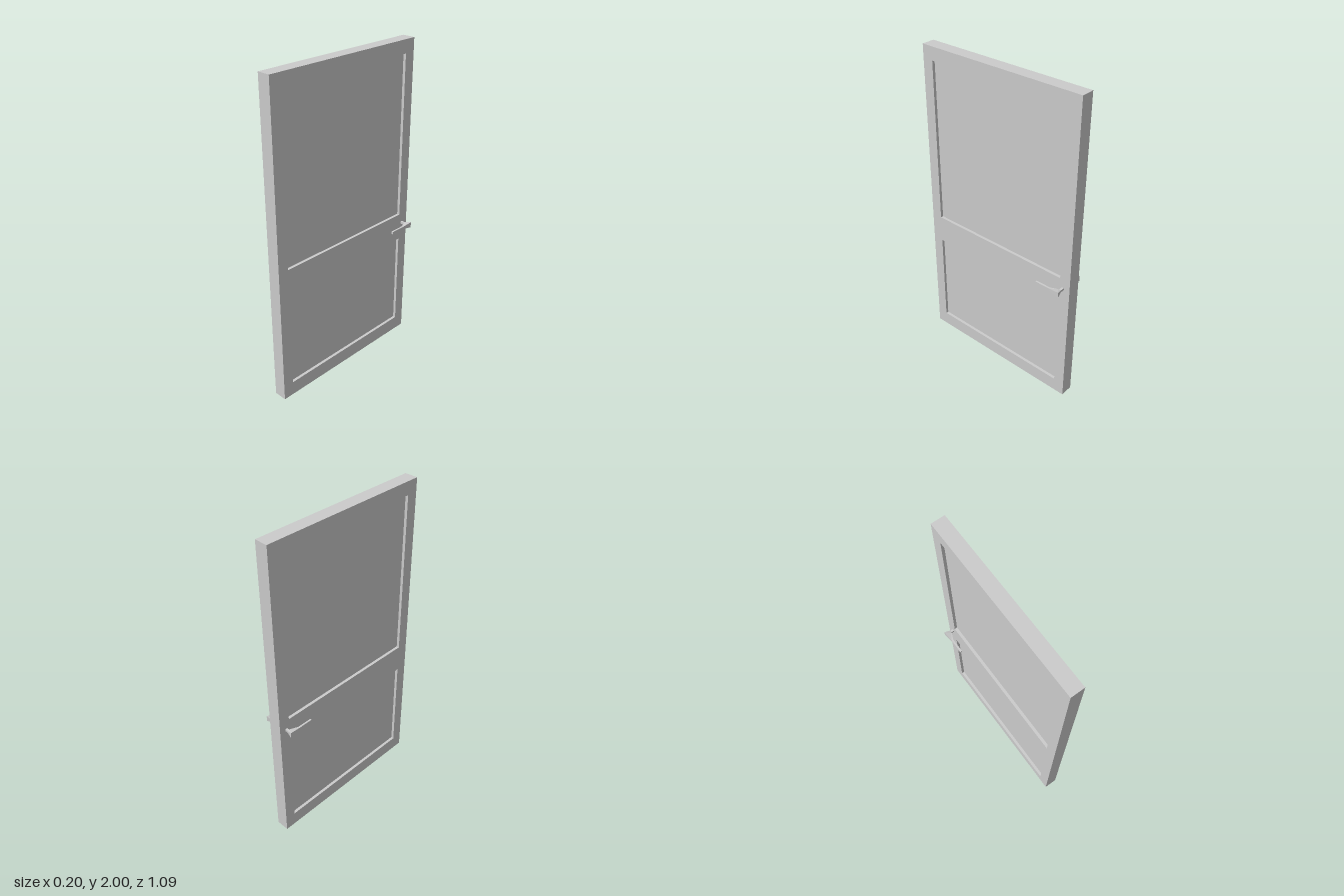
import * as THREE from 'three';

const material = new THREE.MeshStandardMaterial({ color: 0xcccccc, flatShading: true });
const LEFT = 0.036, RIGHT = -0.046, HALF_WIDTH = 0.543, HEIGHT = 2;
const PANEL_HALF = 0.474, RECESS = 0.018, HANDLE_Y = 0.822;
const OPENINGS = [['lowerPanel', 0.09, 0.71], ['upperPanel', 0.885, 1.918]];

function rectangle(PathType, halfWidth, bottom, top) {
  return new PathType([
    new THREE.Vector2(-halfWidth, bottom), new THREE.Vector2(halfWidth, bottom),
    new THREE.Vector2(halfWidth, top), new THREE.Vector2(-halfWidth, top),
  ]);
}

// Lever handle: four-sided sections [outer x, z, half height, inner x, z, half height]
// running out along the neck, round the flared head and along the grip.
const SECTIONS = [
  [0.030, -0.504, 0.007, 0.030, -0.490, 0.007],
  [0.063, -0.504, 0.007, 0.063, -0.490, 0.007],
  [0.102, -0.513, 0.018, 0.065, -0.487, 0.008],
  [0.096, -0.442, 0.008, 0.084, -0.442, 0.008],
  [0.096, -0.346, 0.008, 0.084, -0.346, 0.008],
];

function handleGeometry(side) {
  const positions = [], index = [];
  const tri = (a, b, c) => index.push(...(side > 0 ? [a, b, c] : [a, c, b]));
  for (const [ox, oz, oh, ix, iz, ih] of SECTIONS) {
    positions.push(side * ox, oh, oz, side * ix, ih, iz, side * ix, -ih, iz, side * ox, -oh, oz);
  }
  const last = (SECTIONS.length - 1) * 4;
  for (let s = 0; s < last; s += 4) {
    for (let i = 0; i < 4; i++) {
      const a = s + i, b = s + (i + 1) % 4;
      tri(a, b, a + 4);
      tri(b, b + 4, a + 4);
    }
  }
  // End caps
  tri(0, 2, 1);
  tri(0, 3, 2);
  tri(last, last + 1, last + 2);
  tri(last, last + 2, last + 3);
  const indexed = new THREE.BufferGeometry();
  indexed.setAttribute('position', new THREE.Float32BufferAttribute(positions, 3));
  indexed.setIndex(index);
  const geometry = indexed.toNonIndexed();
  geometry.computeVertexNormals();
  return geometry;
}

export function createModel() {
  const group = new THREE.Group();
  const add = (name, geometry) => {
    const mesh = new THREE.Mesh(geometry, material);
    mesh.name = name;
    group.add(mesh);
    return mesh;
  };

  // Door frame with two openings
  const outline = rectangle(THREE.Shape, HALF_WIDTH, 0, HEIGHT);
  for (const [, bottom, top] of OPENINGS) {
    outline.holes.push(rectangle(THREE.Path, PANEL_HALF, bottom, top));
  }
  const frame = new THREE.ExtrudeGeometry(outline, { depth: LEFT - RIGHT, bevelEnabled: false });
  frame.rotateY(-Math.PI / 2);
  frame.translate(LEFT, 0, 0);
  add('doorFrame', frame);

  // Panels recessed on both faces
  for (const [name, bottom, top] of OPENINGS) {
    const panel = add(name, new THREE.BoxGeometry(LEFT - RIGHT - 2 * RECESS, top - bottom, 2 * PANEL_HALF));
    panel.position.set((LEFT + RIGHT) / 2, (top + bottom) / 2, 0);
  }

  // Mirrored lever handles
  for (const [name, side] of [['leftHandle', 1], ['rightHandle', -1]]) {
    add(name, handleGeometry(side)).position.y = HANDLE_Y;
  }
  return group;
}
